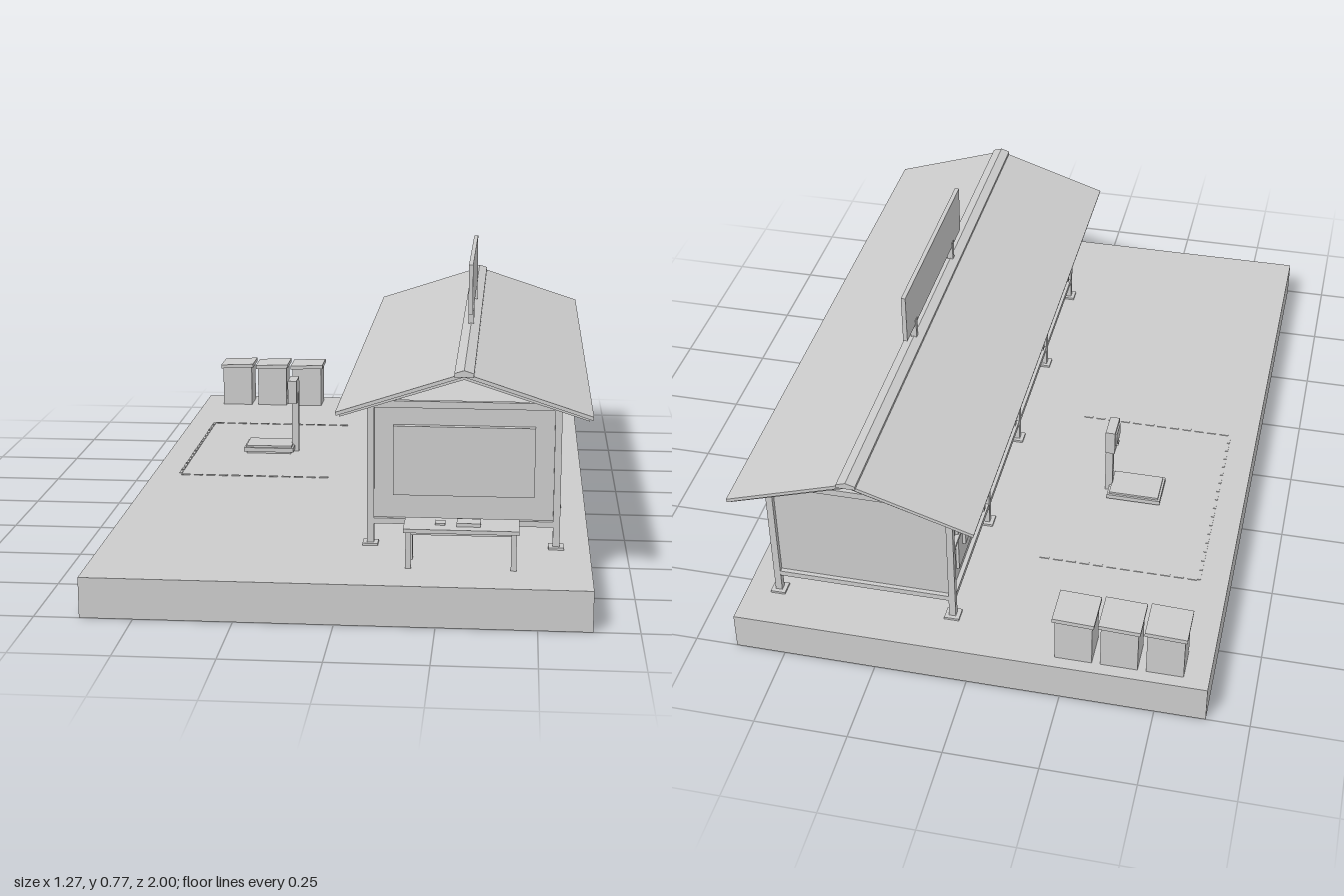
import * as THREE from 'three';

export function createModel() {
  const model = new THREE.Group();
  const grey = new THREE.MeshStandardMaterial({ color: 0xcccccc });
  grey.name = 'light grey';

  const add = (name, geometry, parent = model) => {
    const mesh = new THREE.Mesh(geometry, grey);
    mesh.name = name;
    parent.add(mesh);
    return mesh;
  };
  // box given by its limits along each axis
  const box = (name, x0, x1, y0, y1, z0, z1, parent = model) => {
    const mesh = add(name, new THREE.BoxGeometry(x1 - x0, y1 - y0, z1 - z0), parent);
    mesh.position.set((x0 + x1) / 2, (y0 + y1) / 2, (z0 + z1) / 2);
    return mesh;
  };
  const group = (name) => {
    const g = new THREE.Group();
    g.name = name;
    model.add(g);
    return g;
  };
  // outline in x and y, drawn out along z
  const extrude = (name, points, z0, z1, parent, hole) => {
    const shape = new THREE.Shape(points.map(([x, y]) => new THREE.Vector2(x, y)));
    if (hole) shape.holes.push(new THREE.Path(hole.map(([x, y]) => new THREE.Vector2(x, y))));
    const g = new THREE.ExtrudeGeometry(shape, { depth: z1 - z0, bevelEnabled: false });
    g.translate(0, 0, z0);
    return add(name, g, parent);
  };

  const ground = 0.105;
  box('groundSlab', -0.635, 0.635, 0, ground, -1, 1);

  // raised hall with its frame
  const hall = group('hall');
  const postZ = [0, 1, 2, 3, 4].map((i) => 0.663 - i * 0.3833);
  const sideX = [0.065, 0.548];
  box('hallBody', 0.069, 0.544, 0.166, 0.478, -0.866, 0.659, hall);
  for (const x of sideX) {
    for (const z of postZ) {
      box('post', x - 0.009, x + 0.009, ground, 0.484, z - 0.009, z + 0.009, hall);
      box('postFoot', x - 0.02, x + 0.02, ground, ground + 0.006, z - 0.02, z + 0.02, hall);
    }
    for (const [y0, y1] of [[0.162, 0.177], [0.326, 0.336], [0.473, 0.487]]) {
      box('sideRail', x - 0.008, x + 0.008, y0, y1, -0.87, 0.663, hall);
    }
  }
  for (const z of [postZ[0], postZ[4]]) {
    box('endSill', sideX[0], sideX[1], 0.162, 0.177, z - 0.008, z + 0.008, hall);
    box('endTopRail', sideX[0], sideX[1], 0.473, 0.489, z - 0.008, z + 0.008, hall);
    extrude('gableFrame',
      [[0.062, 0.483], [0.552, 0.483], [0.552, 0.487], [0.307, 0.571], [0.062, 0.487]],
      z - 0.008, z + 0.008, hall,
      [[0.124, 0.491], [0.307, 0.552], [0.49, 0.491]]);
  }
  box('endBoard', 0.124, 0.49, 0.242, 0.426, 0.655, 0.677, hall);

  // hatches, shelves and handles along the left-hand yard side
  for (let i = 0; i < 4; i++) {
    const zc = (postZ[i] + postZ[i + 1]) / 2;
    const face = 0.07;
    box('hatchPanel', 0.061, face, 0.215, 0.45, zc - 0.13, zc + 0.13, hall);
    box('upperPlate', 0.053, face, 0.39, 0.445, zc - 0.09, zc + 0.09, hall);
    box('lowerPlate', 0.052, face, 0.27, 0.33, zc - 0.09, zc + 0.09, hall);
    box('hatchHandle', 0.049, face, 0.222, 0.268, zc + 0.1, zc + 0.115, hall);
    // small catch on the opposite rail
    const zk = zc - [0, 0.06, 0.085, 0.03][i];
    box('railCatch', 0.545, 0.558, 0.333, 0.34, zk - 0.015, zk + 0.015, hall);
  }

  // roof: two sheets over a thinner inner deck
  const roof = group('roof');
  for (const s of [-1, 1]) {
    const at = (d, y) => [0.307 + s * d, y];
    const order = (pts) => (s > 0 ? pts : pts.reverse());
    extrude('roofSheet', order([at(0, 0.572), at(0.325, 0.466), at(0.327, 0.475), at(0, 0.582)]),
      -0.952, 0.742, roof);
    extrude('roofDeck', order([at(0, 0.564), at(0.317, 0.462), at(0.317, 0.469), at(0, 0.572)]),
      -0.945, 0.735, roof);
  }
  extrude('ridgeCap',
    [[0.282, 0.572], [0.332, 0.572], [0.332, 0.582], [0.307, 0.59], [0.282, 0.582]],
    -0.957, 0.746, roof);

  // plain board standing on the ridge
  const sign = group('roofBoard');
  box('boardPanel', 0.301, 0.313, 0.63, 0.77, -0.394, 0.187, sign);
  for (const z of [0.096, -0.305]) {
    box('boardPost', 0.299, 0.315, 0.58, 0.644, z - 0.008, z + 0.008, sign);
  }

  // table in front of the end wall
  const table = group('table');
  box('tableTop', 0.162, 0.452, 0.2, 0.21, 0.765, 0.87, table);
  box('tableApron', 0.175, 0.44, 0.192, 0.2, 0.777, 0.858, table);
  for (const x of [0.175, 0.439]) {
    for (const z of [0.782, 0.856]) {
      box('tableLeg', x - 0.007, x + 0.007, ground, 0.2, z - 0.007, z + 0.007, table);
    }
  }
  box('tray', 0.295, 0.355, 0.21, 0.219, 0.797, 0.84, table);
  box('pad', 0.24, 0.266, 0.21, 0.215, 0.8, 0.83, table);

  // row of bins in the back corner
  for (let i = 0; i < 3; i++) {
    const bin = group('bin');
    box('binBody', -0.049, 0.049, 0, 0.134, -0.046, 0.046, bin);
    const lid = box('binLid', -0.055, 0.055, 0.13, 0.142, -0.055, 0.055, bin);
    lid.rotation.z = 0.04;
    bin.position.set(-0.519 + i * 0.12, ground, -0.92);
  }

  // weighing platform with display
  const scale = group('weighingScale');
  box('scalePlatform', -0.4, -0.247, ground + 0.006, 0.124, -0.325, -0.217, scale);
  box('scalePlate', -0.394, -0.253, 0.124, 0.13, -0.319, -0.223, scale);
  box('scaleBase', -0.392, -0.255, ground, 0.112, -0.317, -0.225, scale);
  box('scalePost', -0.255, -0.234, ground, 0.29, -0.28, -0.26, scale);
  box('displayHead', -0.264, -0.237, 0.262, 0.334, -0.307, -0.233, scale);
  box('displayFace', -0.268, -0.264, 0.285, 0.325, -0.297, -0.243, scale);
  box('displayButton', -0.269, -0.264, 0.27, 0.278, -0.278, -0.262, scale);

  // dashed yard marking around the scale
  const marks = group('yardMarking');
  const top = ground + 0.002;
  for (let i = 0; i < 12; i++) {
    const x = -0.55 + i * 0.0375;
    for (const z of [-0.6, 0.04]) box('markDash', x, x + 0.026, ground, top, z - 0.004, z + 0.004, marks);
  }
  for (let i = 0; i < 17; i++) {
    const z = -0.6 + i * 0.0375;
    box('markDash', -0.559, -0.551, ground, top, z, z + 0.026, marks);
  }

  return model;
}
